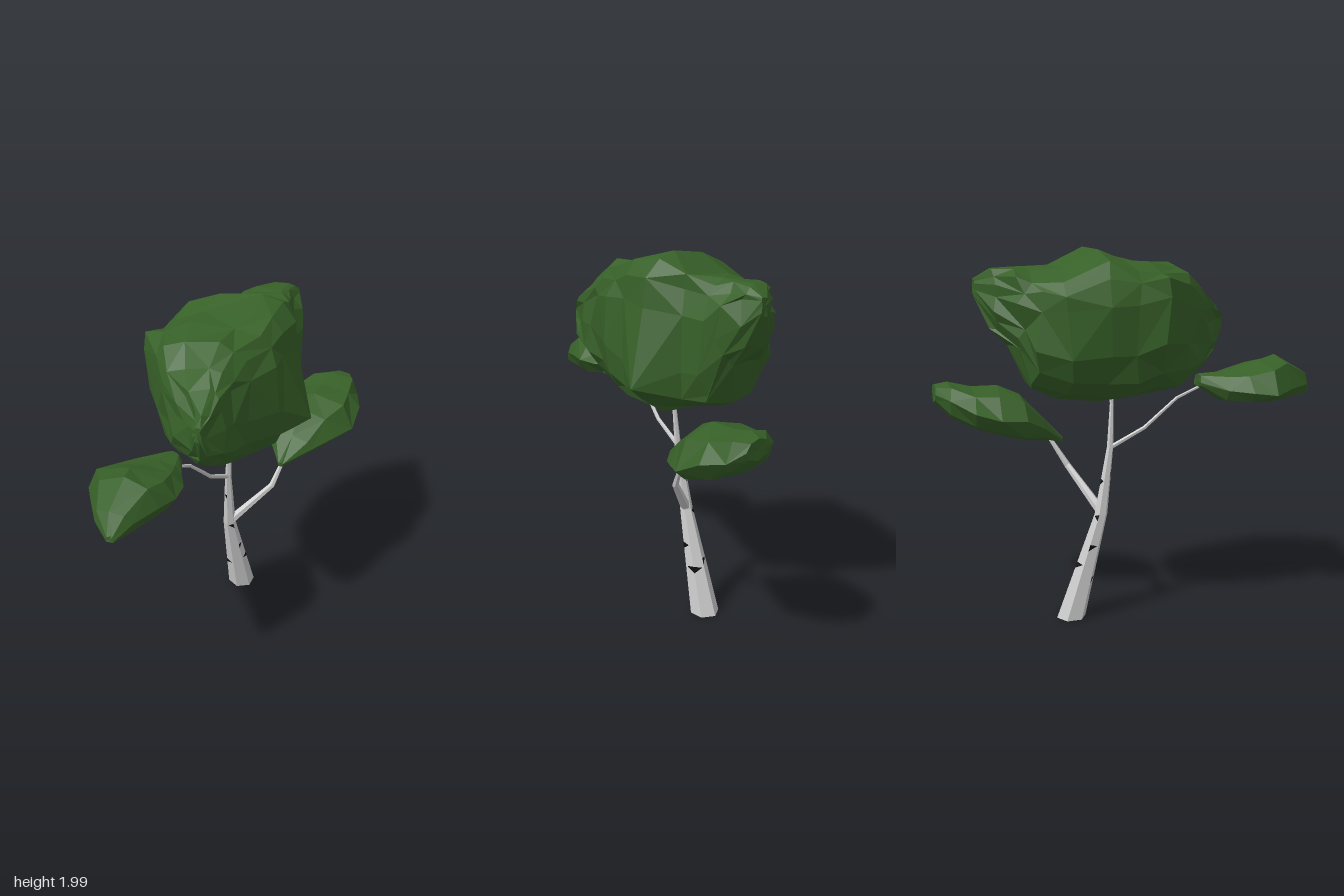
import * as THREE from 'three';

const bark = new THREE.MeshStandardMaterial({ color: 0xcccccc, flatShading: true });
const markMat = new THREE.MeshStandardMaterial({ color: 0x0c0c0c, flatShading: true, side: THREE.DoubleSide });
const leaf = new THREE.MeshStandardMaterial({ color: 0x376028, flatShading: true });

// small seeded random in [-1, 1]
let seed = 7;
const rand = () => {
  seed = (seed * 16807) % 2147483647;
  return (seed / 2147483647) * 2 - 1;
};

function toMesh(points, index, material, name) {
  const geo = new THREE.BufferGeometry().setFromPoints(points);
  geo.setIndex(index);
  const flat = geo.toNonIndexed();
  flat.computeVertexNormals();
  const mesh = new THREE.Mesh(flat, material);
  mesh.name = name;
  return mesh;
}

// closed skin over a row of rings, with a cap at each end
function loft(rings, material, name) {
  const n = rings[0].length, index = [];
  const points = rings.flat();
  for (let i = 0; i < rings.length - 1; i++) {
    for (let j = 0; j < n; j++) {
      const a = i * n + j, b = i * n + (j + 1) % n, c = b + n, d = a + n;
      if ((i + j) % 2) index.push(a, b, c, a, c, d);
      else index.push(a, b, d, b, c, d);
    }
  }
  const centre = ring => ring.reduce((s, p) => s.add(p), new THREE.Vector3()).divideScalar(n);
  const first = points.length, last = first + 1, end = (rings.length - 1) * n;
  points.push(centre(rings[0]), centre(rings[rings.length - 1]));
  for (let j = 0; j < n; j++) {
    const k = (j + 1) % n;
    index.push(first, k, j, last, end + j, end + k);
  }
  return toMesh(points, index, material, name);
}

// six-sided tapering limb; stations are [x, y, z, radius]
const UP = new THREE.Vector3(0, 1, 0);
function limb(stations, name, level = false) {
  const centres = stations.map(s => new THREE.Vector3(s[0], s[1], s[2]));
  const rings = stations.map((s, i) => {
    const dir = centres[Math.min(i + 1, centres.length - 1)].clone()
      .sub(centres[Math.max(i - 1, 0)]).normalize();
    const turn = new THREE.Quaternion().setFromUnitVectors(UP, level ? UP : dir);
    return Array.from({ length: 6 }, (_, j) => {
      const a = j * Math.PI / 3;
      return new THREE.Vector3(Math.sin(a) * s[3], 0, Math.cos(a) * s[3])
        .applyQuaternion(turn).add(centres[i]);
    });
  });
  return loft(rings, bark, name);
}

// leaf clump; stations run back to front as
// [z, left x, right x, bottom y, top y, height of left bulge, height of right bulge, spur to the right]
// power = roundness of the left and right half, lean = shift of the top to the right, slump = drop of the left shoulder
function clump(stations, name, { sides, rough, power, lean = 0, slump = 0 }) {
  const rings = stations.map(([z, x0, x1, y0, y1, yl, yr, spur = 0], i) => {
    const mid = (x0 + x1) / 2, half = (x1 - x0) / 2;
    const tip = i === 0 || i === stations.length - 1;
    const r = tip ? 0.005 : rough;
    return Array.from({ length: sides }, (_, j) => {
      const a = j / sides * Math.PI * 2;
      const soft = v => Math.sign(v) * Math.pow(Math.abs(v), power[Math.cos(a) > 0.01 ? 1 : 0]);
      const c = soft(Math.cos(a)), s = soft(Math.sin(a));
      const side = c > 0 ? yr : yl;
      const rise = s > 0 ? (y1 - side) * (1 - slump * Math.max(0, -c)) : side - y0;
      const shift = lean * Math.max(0, s) * (1 - Math.abs(c));
      return new THREE.Vector3(
        mid + (c + shift) * half + (j === 0 ? spur : 0) + rand() * r,
        side + s * rise + rand() * r * 0.8,
        z + rand() * r);
    });
  });
  return loft(rings, leaf, name);
}

const TRUNK = [
  [-0.07, 0, -0.34, 0.08],
  [-0.085, 0.57, -0.172, 0.036],
  [-0.07, 0.93, -0.115, 0.018],
  [-0.055, 1.16, -0.1, 0.011],
  [-0.05, 1.32, -0.105, 0.01]
];

// dark bark fleck beside trunk corner k at height y
function fleck(y, k, way) {
  const i = TRUNK.findIndex((s, n) => y < TRUNK[n + 1][1]);
  const at = (corner, h) => {
    const t = (h - TRUNK[i][1]) / (TRUNK[i + 1][1] - TRUNK[i][1]);
    const [x, , z, r] = TRUNK[i].map((v, m) => v + (TRUNK[i + 1][m] - v) * t);
    const a = corner * Math.PI / 3;
    return new THREE.Vector3(x + Math.sin(a) * r * 1.03, h, z + Math.cos(a) * r * 1.03);
  };
  const mid = at(k, y).lerp(at(k + way, y), 0.8);
  return toMesh([at(k, y - 0.025), at(k, y + 0.01), mid], [0, 1, 2], markMat, 'barkMark');
}

export function createModel() {
  const tree = new THREE.Group();
  tree.name = 'tree';

  // trunk and branches
  tree.add(limb(TRUNK, 'trunk', true));
  tree.add(limb([
    [-0.07, 0.92, -0.125, 0.013], [-0.1, 1.03, 0.07, 0.011],
    [-0.14, 1.19, 0.24, 0.009], [-0.17, 1.26, 0.38, 0.007]
  ], 'frontBranch'));
  tree.add(limb([
    [-0.08, 0.58, -0.17, 0.028], [0.13, 0.8, -0.3, 0.018], [0.18, 0.97, -0.4, 0.01]
  ], 'backBranch'));

  // bark flecks
  const marks = new THREE.Group();
  marks.name = 'barkMarks';
  [[0.22, 5, 1], [0.26, 2, -1], [0.26, 2, 1], [0.38, 1, 1], [0.4, 4, 1], [0.3, 3, 1],
    [0.56, 1, -1], [0.56, 4, -1], [0.79, 0, -1], [0.75, 3, 1]]
    .forEach(m => marks.add(fleck(...m)));
  tree.add(marks);

  // foliage
  tree.add(clump([
    [-0.8, 0.04, 0.1, 1.73, 1.82, 1.78, 1.78],
    [-0.72, -0.1, 0.13, 1.57, 1.87, 1.73, 1.7],
    [-0.61, -0.23, 0.16, 1.47, 1.88, 1.68, 1.6],
    [-0.54, -0.29, 0.19, 1.27, 1.88, 1.64, 1.42],
    [-0.4, -0.37, 0.22, 1.21, 1.9, 1.64, 1.42],
    [-0.21, -0.42, 0.28, 1.18, 2.0, 1.68, 1.35, 0.1],
    [-0.06, -0.44, 0.28, 1.2, 1.95, 1.7, 1.45],
    [0.07, -0.46, 0.26, 1.22, 1.92, 1.74, 1.5],
    [0.24, -0.34, 0.19, 1.25, 1.9, 1.7, 1.53],
    [0.34, -0.24, 0.15, 1.3, 1.81, 1.65, 1.54],
    [0.44, -0.12, 0.12, 1.36, 1.75, 1.6, 1.55],
    [0.53, -0.02, 0.09, 1.43, 1.67, 1.6, 1.56],
    [0.57, 0.03, 0.07, 1.55, 1.63, 1.6, 1.58]
  ], 'crown', { sides: 16, rough: 0.022, power: [0.75, 0.58], lean: 0.42, slump: 0.2 }));
  tree.add(clump([
    [0.34, -0.24, -0.14, 1.25, 1.32, 1.28, 1.28],
    [0.45, -0.37, -0.08, 1.18, 1.33, 1.24, 1.28],
    [0.55, -0.45, -0.04, 1.18, 1.35, 1.23, 1.28],
    [0.66, -0.49, -0.03, 1.18, 1.4, 1.23, 1.28],
    [0.77, -0.41, -0.06, 1.18, 1.42, 1.24, 1.29],
    [0.92, -0.31, -0.13, 1.2, 1.33, 1.25, 1.27],
    [0.99, -0.22, -0.18, 1.21, 1.24, 1.22, 1.22]
  ], 'frontClump', { sides: 8, rough: 0.01, power: [0.85, 0.85] }));
  tree.add(clump([
    [-0.995, 0.24, 0.4, 1.16, 1.26, 1.21, 1.21],
    [-0.92, 0.12, 0.46, 1.08, 1.27, 1.18, 1.16],
    [-0.8, 0.03, 0.49, 1.02, 1.24, 1.12, 1.13],
    [-0.67, 0.0, 0.49, 0.98, 1.25, 1.09, 1.06],
    [-0.55, -0.01, 0.41, 0.955, 1.2, 1.08, 1.04],
    [-0.43, 0.07, 0.32, 0.94, 1.08, 1.02, 1.01],
    [-0.32, 0.16, 0.19, 0.925, 0.95, 0.935, 0.935]
  ], 'backClump', { sides: 8, rough: 0.01, power: [0.95, 0.9] }));

  return tree;
}
